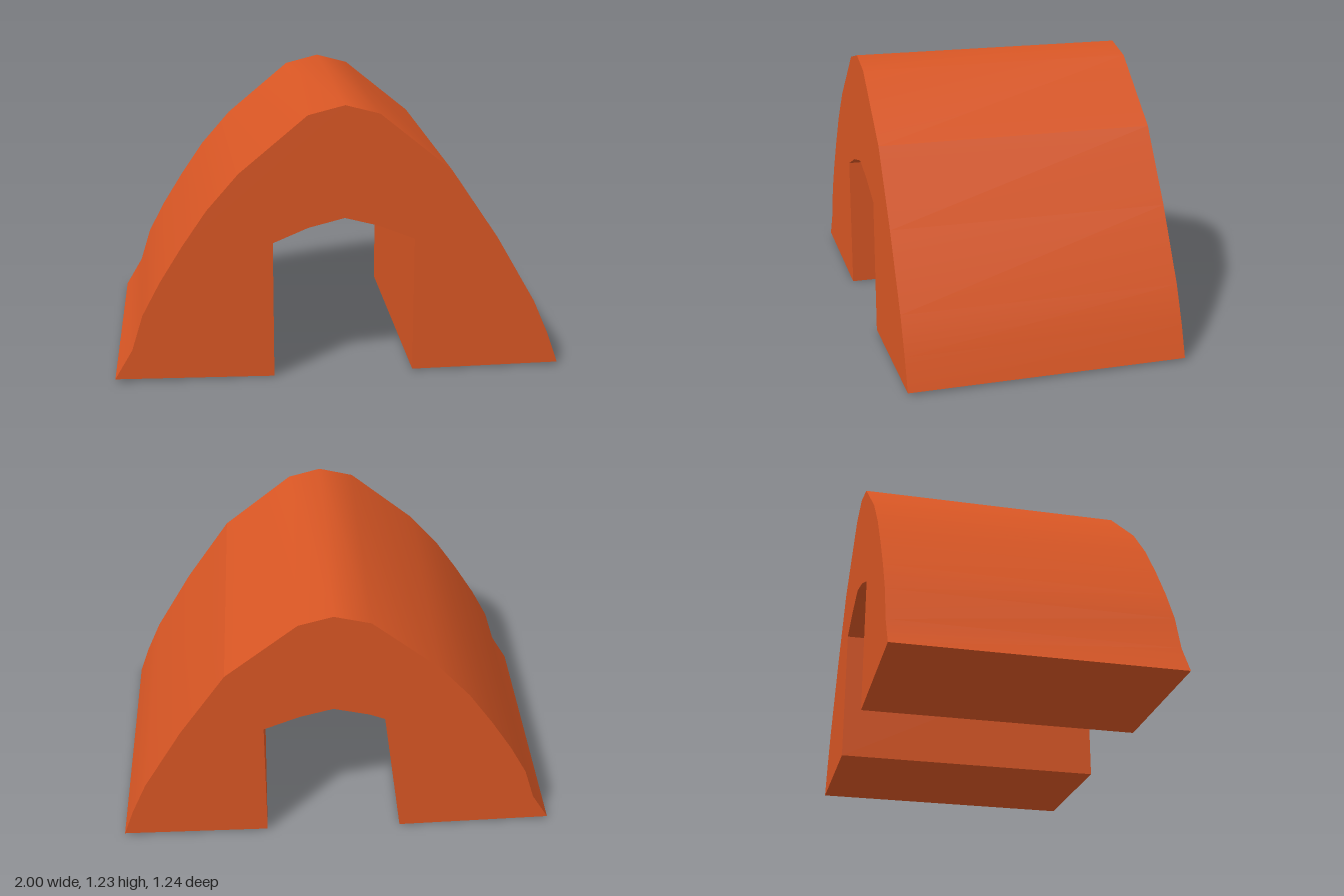
import * as THREE from 'three';

const HALF_DEPTH = 0.62;

// Profile runs, clockwise from the front; each run is shaded smoothly, with a hard edge between runs
const RUNS = {
  outerVaultRight: [[-1, 0.015], [-0.92, 0.15], [-0.87, 0.31], [-0.79, 0.46], [-0.69, 0.62], [-0.58, 0.78],
    [-0.44, 0.94], [-0.14, 1.19], [0.02, 1.23], [0.17, 1.19], [0.49, 0.93]],
  outerVaultLeft: [[0.49, 0.93], [0.7, 0.62], [0.88, 0.31], [0.95, 0.15], [1, 0.01]],
  leftFoot: [[1, 0.01], [0.33, 0.005]],
  leftInnerWall: [[0.33, 0.005], [0.33, 0.625]],
  innerCeiling: [[0.33, 0.625], [0.17, 0.69], [0.02, 0.73], [-0.14, 0.69], [-0.295, 0.625]],
  rightInnerWall: [[-0.295, 0.625], [-0.295, 0]],
  rightFoot: [[-0.295, 0], [-1, 0.015]],
};

// Sweep a run of profile points from front to back
function strip(points) {
  const positions = [], indices = [];
  points.forEach(([x, y], i) => {
    positions.push(x, y, HALF_DEPTH, x, y, -HALF_DEPTH);
    if (i < points.length - 1) {
      const a = 2 * i;
      indices.push(a, a + 2, a + 1, a + 2, a + 3, a + 1);
    }
  });
  const geometry = new THREE.BufferGeometry();
  geometry.setAttribute('position', new THREE.Float32BufferAttribute(positions, 3));
  geometry.setIndex(indices);
  geometry.computeVertexNormals();
  return geometry;
}

// Flat end face; side is 1 for the front and -1 for the back
function endFace(side) {
  const outline = Object.values(RUNS).flatMap((run) => run.slice(0, -1))
    .map(([x, y]) => new THREE.Vector2(x * side, y));
  const geometry = new THREE.ShapeGeometry(new THREE.Shape(outline));
  geometry.translate(0, 0, HALF_DEPTH);
  if (side < 0) geometry.rotateY(Math.PI);
  return geometry;
}

export function createModel() {
  const terracotta = new THREE.MeshStandardMaterial({ color: 0xd85624 });
  terracotta.name = 'terracotta';

  const arch = new THREE.Group();
  arch.name = 'arch';
  const add = (name, geometry) => {
    const mesh = new THREE.Mesh(geometry, terracotta);
    mesh.name = name;
    arch.add(mesh);
  };

  for (const [name, points] of Object.entries(RUNS)) add(name, strip(points));
  add('frontFace', endFace(1));
  add('backFace', endFace(-1));
  return arch;
}
